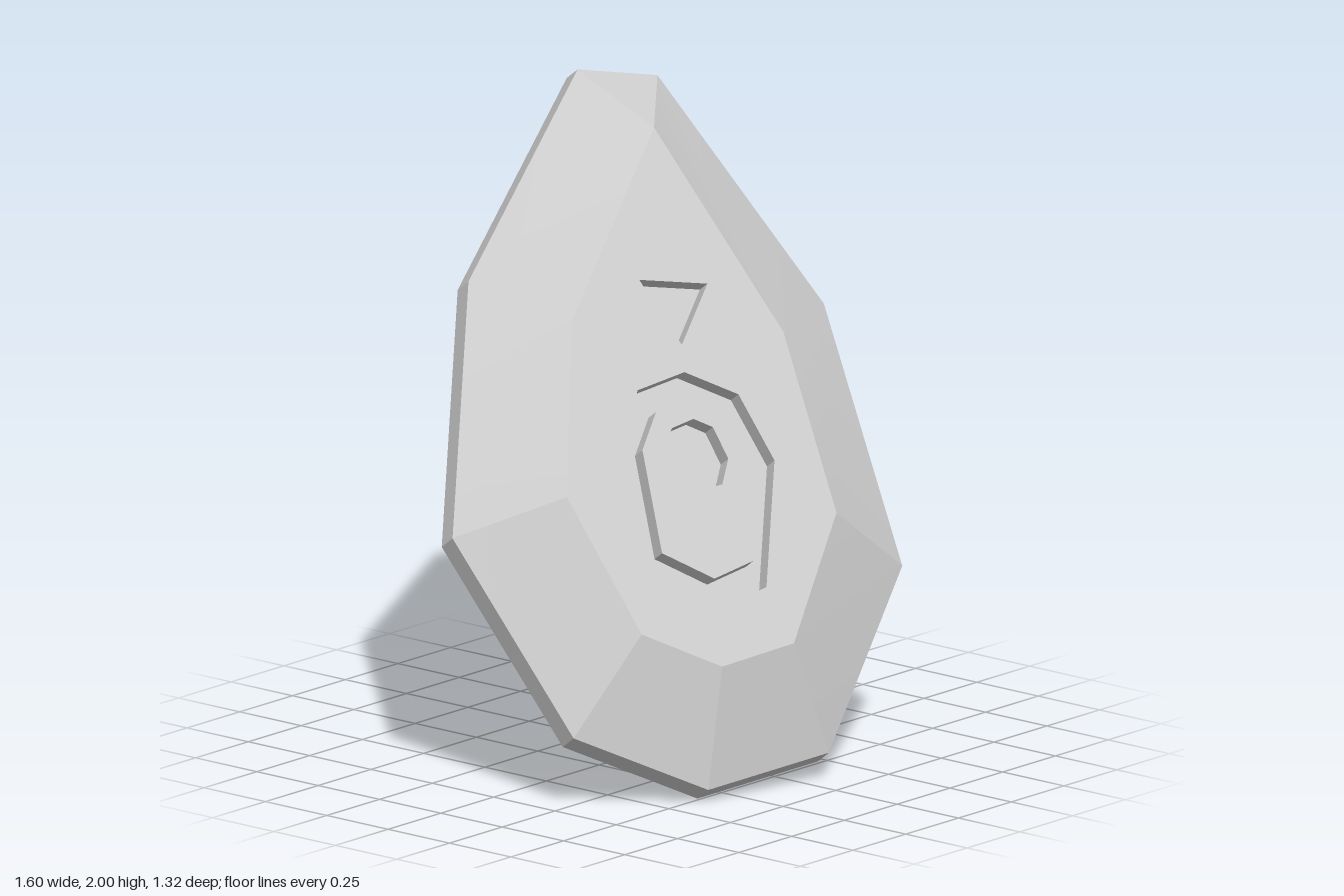
import * as THREE from 'three';
import { toCreasedNormals } from 'three/addons/utils/BufferGeometryUtils.js';

// The stone leans: N is the direction its flat face looks along.
const N = new THREE.Vector3(-0.24, 0.557, 0.795).normalize();
const FACE = 0.742, RIM = 0.55, RIM_BACK = 0.475, BACK = 0.285; // distances along N
const CUT = 0.052; // carving depth

// Lift x, y pairs onto the plane at distance d along N
const onPlane = (pairs, d) => pairs.map(([x, y]) => new THREE.Vector3(x, y, (d - N.x * x - N.y * y) / N.z));
const sink = (loop, depth) => loop.map((p) => p.clone().addScaledVector(N, -depth));

// Triangles between two matching loops (clockwise from the front), facing outwards
function band(upper, lower) {
  const tris = [];
  upper.forEach((a, i) => {
    const j = (i + 1) % upper.length;
    const b = upper[j], c = lower[i], d = lower[j];
    if (a.distanceTo(b) > 1e-6) tris.push(a, b, c);
    if (c.distanceTo(d) > 1e-6) tris.push(b, d, c);
  });
  return tris;
}

// Flat area with holes, facing the front or the back
function flat(outline, holes = [], front = true) {
  const flatten = (loop) => loop.map((p) => new THREE.Vector2(p.x, p.y));
  const points = [outline, ...holes].flat();
  return THREE.ShapeUtils.triangulateShape(flatten(outline), holes.map(flatten)).flatMap(([i, j, k]) => {
    const [a, b, c] = [points[i], points[j], points[k]];
    const facesFront = (b.x - a.x) * (c.y - a.y) - (b.y - a.y) * (c.x - a.x) > 0;
    return facesFront === front ? [a, b, c] : [a, c, b];
  });
}

function part(name, tris) {
  const geometry = toCreasedNormals(new THREE.BufferGeometry().setFromPoints(tris), 0.3);
  const mesh = new THREE.Mesh(geometry, new THREE.MeshStandardMaterial({ color: 0xcccccc }));
  mesh.name = name;
  return mesh;
}

export function createModel() {
  const group = new THREE.Group();
  group.name = 'carvedStone';

  // Nine-sided girdle; the two tip corners share one corner of the face
  const rim = onPlane([[0.35, 2], [0.6, 1.95], [0.777, 1.275], [0.615, 0.55], [0.08, 0.09],
    [-0.37, 0.045], [-0.725, 0.24], [-0.8, 0.82], [-0.34, 1.49]], RIM);
  const face = onPlane([[0.335, 1.875], [0.335, 1.875], [0.43, 1.28], [0.315, 0.78], [-0.03, 0.455],
    [-0.3, 0.425], [-0.51, 0.545], [-0.535, 0.94], [-0.24, 1.4]], FACE);
  const rimBack = sink(rim, RIM - RIM_BACK);
  const back = sink(face, FACE - BACK);

  // Carved outlines on the face
  const ring = onPlane([[-0.378, 0.677], [-0.3, 1.035], [-0.135, 1.19], [0.045, 1.217],
    [0.185, 1.135], [0.197, 0.945], [-0.03, 0.615], [-0.23, 0.577]], FACE);
  const island = onPlane([[-0.315, 0.75], [-0.215, 1.03], [-0.11, 1.125], [0.02, 1.16],
    [0.1, 1.095], [0.122, 0.95], [-0.03, 0.69], [-0.185, 0.66]], FACE);
  const pit = onPlane([[-0.155, 0.965], [-0.155, 1.01], [-0.085, 1.075], [0, 1.09],
    [0.05, 1.06], [0.05, 0.97], [-0.01, 0.905], [-0.085, 0.9]], FACE);
  const notch = onPlane([[0.045, 1.48], [0.26, 1.44], [0.08, 1.29]], FACE);

  group.add(
    part('frontFace', flat(face.slice(1), [ring, notch])),
    part('frontBevels', band(face, rim)),
    part('rim', band(rim, rimBack)),
    part('backBevels', band(rimBack, back)),
    part('backFace', flat(back.slice(1), [], false)),
    part('ringIsland', flat(island, [pit])),
  );

  // Ring groove: outer wall, island wall and floor
  const ringFloor = sink(ring, CUT), islandFoot = sink(island, CUT);
  group.add(part('ringGroove', [
    ...band(ringFloor, ring), ...band(island, islandFoot), ...flat(ringFloor, [islandFoot]),
  ]));

  // Simple sunken shapes
  for (const [name, loop] of [['centrePit', pit], ['triangleNotch', notch]]) {
    const floor = sink(loop, CUT);
    group.add(part(name, [...band(floor, loop), ...flat(floor)]));
  }
  return group;
}
